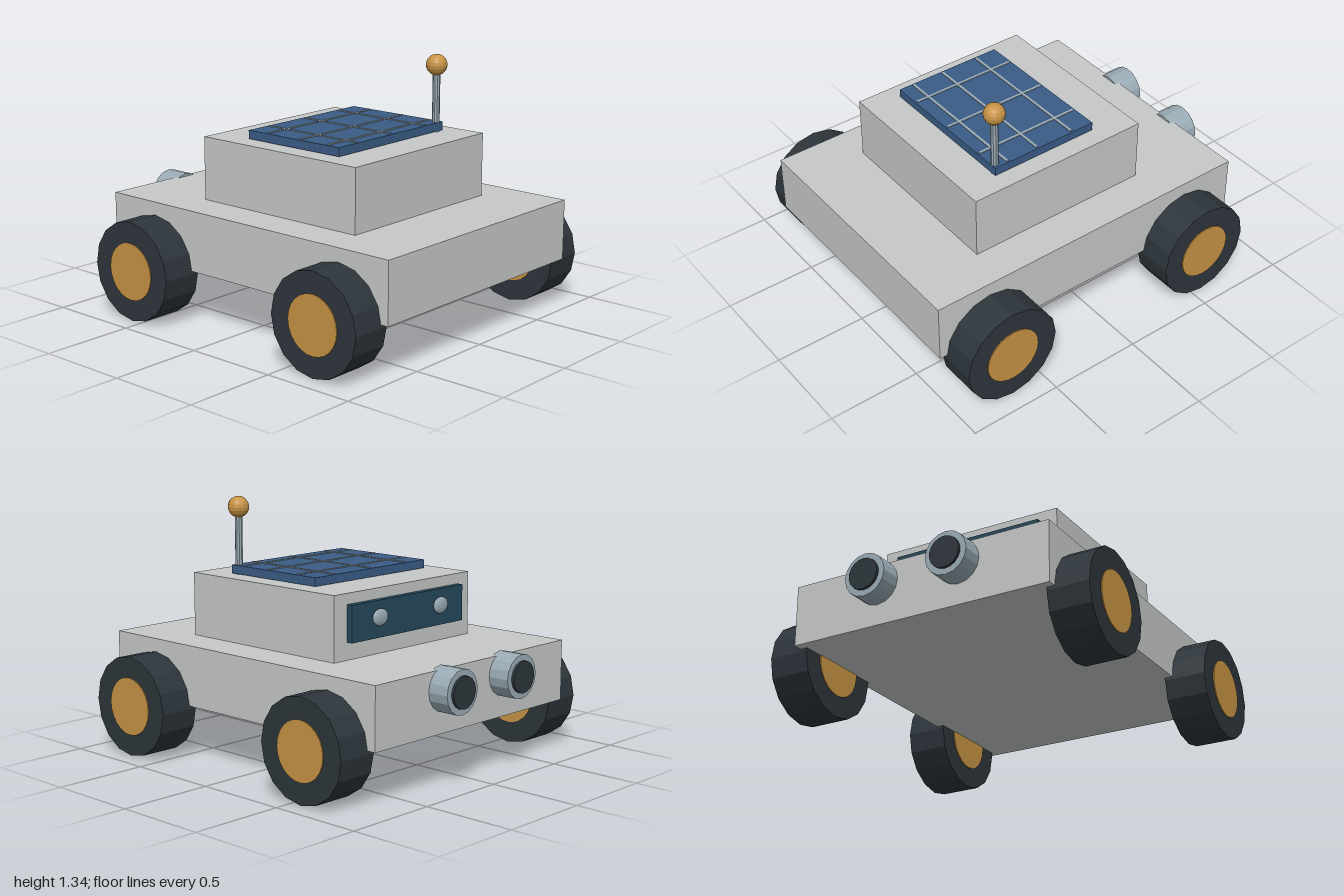
import * as THREE from 'three';

const mat = (name, color) => Object.assign(new THREE.MeshStandardMaterial({ color }), { name });

export function createModel() {
  const model = new THREE.Group();
  model.name = 'rover';

  const shell = mat('light grey shell', 0xc5c9c7);
  const rubber = mat('dark rubber', 0x2d353b);
  const amber = mat('amber', 0xc79344);
  const cellBlue = mat('solar blue', 0x3a5c86);
  const metal = mat('pale metal', 0x9aabb5);
  const glass = mat('dark teal glass', 0x25495b);

  const add = (name, geometry, material, x, y, z, parent = model) => {
    const mesh = new THREE.Mesh(geometry, material);
    mesh.name = name;
    mesh.position.set(x, y, z);
    parent.add(mesh);
    return mesh;
  };
  // Box given by its minimum and maximum corners
  const box = (name, material, [x0, y0, z0], [x1, y1, z1], parent) =>
    add(name, new THREE.BoxGeometry(x1 - x0, y1 - y0, z1 - z0), material,
      (x0 + x1) / 2, (y0 + y1) / 2, (z0 + z1) / 2, parent);
  // Faceted normals for the low-poly round parts
  const faceted = (geometry) => {
    const flat = geometry.toNonIndexed();
    flat.computeVertexNormals();
    return flat;
  };

  // Body and cabin
  box('chassis', shell, [-0.72, 0.28, -0.87], [0.72, 0.6, 1]);
  box('cabin', shell, [-0.51, 0.6, -0.405], [0.51, 0.935, 0.62]);

  // Wheels, with hubs standing slightly proud on both sides
  const tyreGeo = faceted(new THREE.CylinderGeometry(0.265, 0.265, 0.22, 16).rotateZ(Math.PI / 2));
  const hubGeo = faceted(new THREE.CylinderGeometry(0.153, 0.153, 0.23, 24).rotateZ(Math.PI / 2));
  for (const [end, z] of [['front', 0.695], ['rear', -0.56]]) {
    for (const [side, x] of [['Left', 0.79], ['Right', -0.79]]) {
      const wheel = new THREE.Group();
      wheel.name = `${end}${side}Wheel`;
      wheel.position.set(x, 0.265, z);
      add('tyre', tyreGeo, rubber, 0, 0, 0, wheel);
      add('hub', hubGeo, amber, 0, 0, 0, wheel);
      model.add(wheel);
    }
  }

  // Solar panel with raised grid lines
  const solar = new THREE.Group();
  solar.name = 'solarPanel';
  model.add(solar);
  box('panel', cellBlue, [-0.412, 0.94, -0.18], [0.412, 0.985, 0.43], solar);
  for (const x of [-0.268, 0, 0.268])
    box('lengthwiseLine', metal, [x - 0.007, 0.982, -0.17], [x + 0.007, 0.989, 0.42], solar);
  for (const z of [-0.05, 0.167, 0.35])
    box('crosswiseLine', metal, [-0.402, 0.982, z - 0.007], [0.402, 0.989, z + 0.007], solar);

  // Antenna
  add('antennaRod', faceted(new THREE.CylinderGeometry(0.02, 0.02, 0.33, 10)), metal, 0.38, 1.1, 0.41);
  add('antennaBall', faceted(new THREE.SphereGeometry(0.056, 14, 10)), amber, 0.38, 1.288, 0.41);

  // Rear window, lamps and nozzles
  box('rearWindow', glass, [-0.42, 0.69, -0.44], [0.42, 0.88, -0.407]);
  const lampGeo = faceted(new THREE.SphereGeometry(1, 14, 10).scale(0.055, 0.044, 0.017));
  const nozzleGeo = faceted(new THREE.CylinderGeometry(0.114, 0.114, 0.14, 16).rotateX(Math.PI / 2));
  const boreGeo = faceted(new THREE.CylinderGeometry(0.082, 0.082, 0.1, 18).rotateX(Math.PI / 2));
  for (const x of [-0.23, 0.23]) {
    add('rearLamp', lampGeo, metal, x, 0.797, -0.453);
    add('nozzle', nozzleGeo, metal, x, 0.502, -0.915);
    add('nozzleBore', boreGeo, rubber, x, 0.502, -0.95);
  }

  return model;
}
